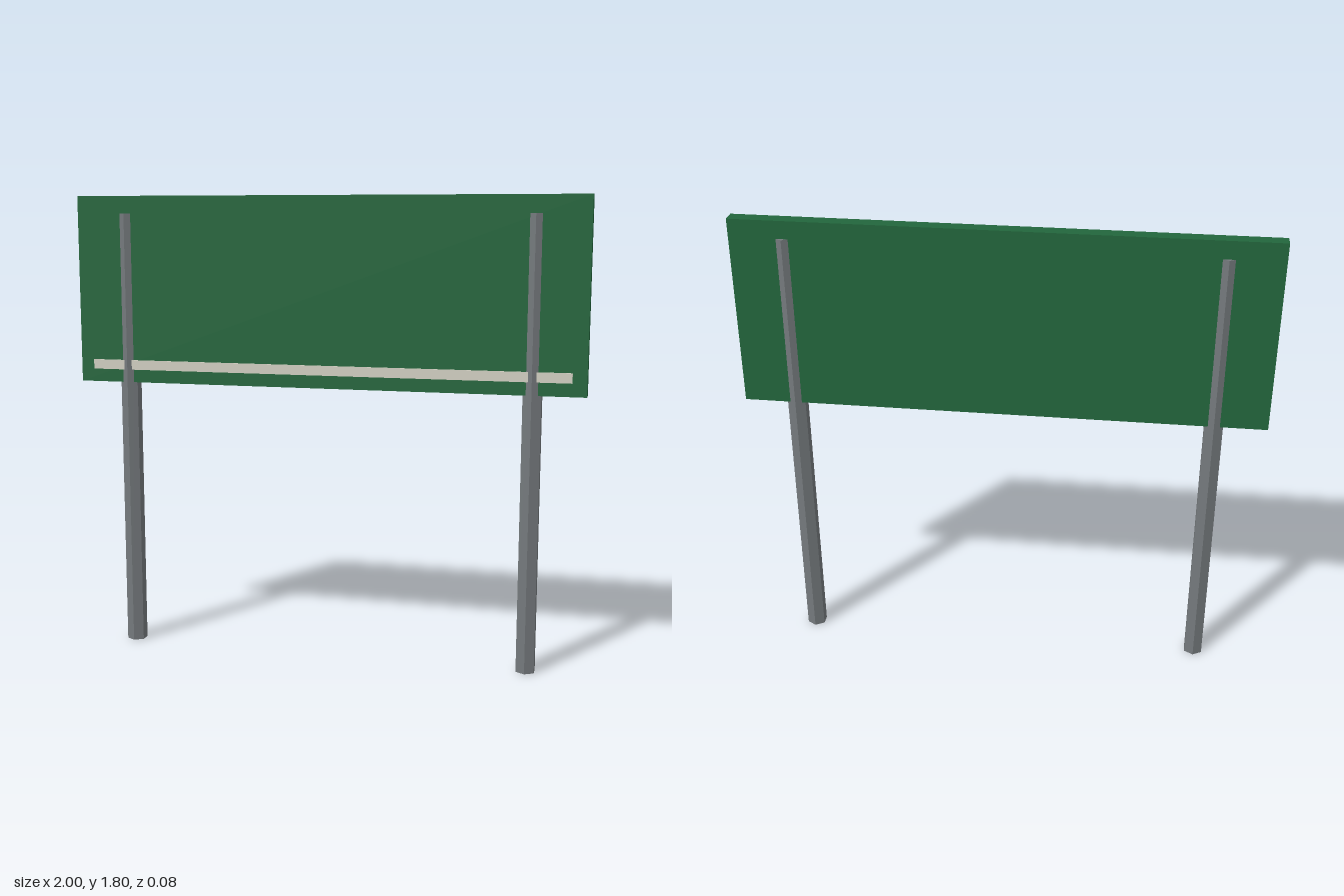
import * as THREE from 'three';

export function createModel() {
  const model = new THREE.Group();
  model.name = 'signBoard';

  const add = (name, geometry, color, x, y, z) => {
    const material = new THREE.MeshStandardMaterial({ color, flatShading: true });
    const mesh = new THREE.Mesh(geometry, material);
    mesh.name = name;
    mesh.position.set(x, y, z);
    model.add(mesh);
  };

  // Board
  add('panel', new THREE.BoxGeometry(2, 0.733, 0.054), 0x22663c, 0, 1.437, 0);

  // Pale line low on the front face
  add('stripe', new THREE.BoxGeometry(1.893, 0.038, 0.01), 0xd2d0c2, 0, 1.14, 0.026);

  // Six-sided posts, running up through the board with an edge to the front
  const postHeight = 1.735;
  for (const [name, side] of [['leftPost', 1], ['rightPost', -1]]) {
    add(name, new THREE.CylinderGeometry(0.04, 0.04, postHeight, 6), 0x74797c, side * 0.8, postHeight / 2, 0);
  }

  return model;
}
